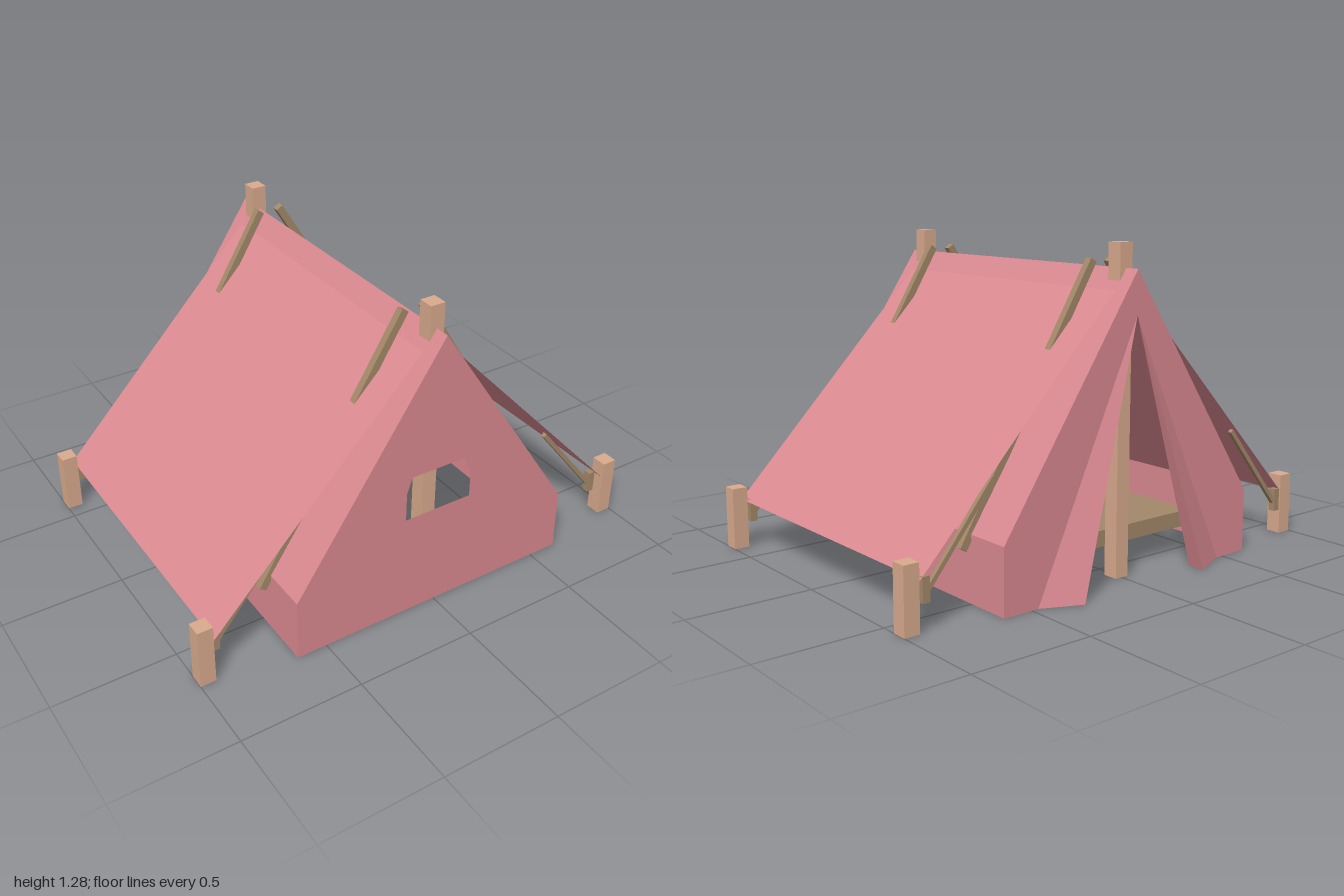
import * as THREE from 'three';

const canvas = new THREE.MeshStandardMaterial({ color: 0xdb8a91, side: THREE.DoubleSide });
canvas.name = 'pink canvas';
const postWood = new THREE.MeshStandardMaterial({ color: 0xdaab8e });
postWood.name = 'light wood';
const poleWood = new THREE.MeshStandardMaterial({ color: 0xa4896a });
poleWood.name = 'dark wood';

// Tent dimensions
const HALF = 0.625, EAVE = 0.26, RIDGE = 1.19, FRONT = 0.76, BACK = -0.69;
const POST_Z = [0.667, -0.595];
const SIDES = [1, -1];

export function createModel() {
  const model = new THREE.Group();
  model.name = 'tent';

  function add(name, geometry, material, x = 0, y = 0, z = 0) {
    const mesh = new THREE.Mesh(geometry, material);
    mesh.name = name;
    mesh.position.set(x, y, z);
    model.add(mesh);
    return mesh;
  }

  const box = (name, material, w, h, d, x, y, z) =>
    add(name, new THREE.BoxGeometry(w, h, d), material, x, y, z);

  // Thin cloth sheet from a fan of corner points
  function sheet(name, points) {
    const position = [];
    for (let i = 1; i < points.length - 1; i++) {
      position.push(...points[0], ...points[i], ...points[i + 1]);
    }
    const geometry = new THREE.BufferGeometry();
    geometry.setAttribute('position', new THREE.Float32BufferAttribute(position, 3));
    geometry.computeVertexNormals();
    return add(name, geometry, canvas);
  }

  // Square stick between two points in a plane of constant z
  function stick(name, a, b, width, depth, z) {
    const dx = b[0] - a[0], dy = b[1] - a[1];
    const mesh = box(name, poleWood, width, Math.hypot(dx, dy), depth,
      (a[0] + b[0]) / 2, (a[1] + b[1]) / 2, z);
    mesh.rotation.z = Math.atan2(-dx, dy);
  }

  const polygon = (points) => points.map(([x, y]) => new THREE.Vector2(x, y));

  // Front gable with window
  const gable = [[HALF, 0], [HALF, EAVE], [0, RIDGE], [-HALF, EAVE], [-HALF, 0]];
  const frontShape = new THREE.Shape(polygon(gable));
  frontShape.holes.push(new THREE.Path(polygon(
    [[-0.148, 0.445], [0.148, 0.445], [0.148, 0.632], [-0.148, 0.632]])));
  add('frontWall', new THREE.ShapeGeometry(frontShape), canvas, 0, 0, FRONT);

  // Back gable with door opening
  const backShape = new THREE.Shape(polygon([...gable, [-0.47, 0], [0, 1.02], [0.47, 0]]));
  add('backWall', new THREE.ShapeGeometry(backShape), canvas, 0, 0, BACK);

  for (const s of SIDES) {
    // Side wall, roof and overhanging fly sheet
    sheet('sideWall', [[s * HALF, 0, FRONT], [s * HALF, 0, BACK],
      [s * HALF, EAVE, BACK], [s * HALF, EAVE, FRONT]]);
    sheet('roof', [[s * HALF, EAVE, FRONT], [s * HALF, EAVE, BACK],
      [0, RIDGE, BACK], [0, RIDGE, FRONT]]);
    sheet('flySheet', [[s * 0.933, 0.19, 0.695], [s * 0.933, 0.19, -0.627],
      [0, 1.166, -0.627], [0, 1.166, 0.695]]);

    // Folded door flap
    const top = [0, 1.02, BACK], tip = [s * 0.31, 0, -0.763];
    sheet('doorFlapOuter', [top, [s * 0.47, 0, BACK], tip]);
    sheet('doorFlapInner', [top, tip, [s * 0.31, 0, BACK]]);

    // Window curtain
    sheet('windowCurtain', [[s * 0.15, 0.635, FRONT - 0.005],
      [s * 0.12, 0.635, FRONT - 0.005], [s * 0.15, 0.545, FRONT - 0.005]]);

    // Roof poles
    for (const z of [0.555, -0.485]) {
      stick('roofPole', [s * 0.045, 1.215], [s * 0.66, 0.208], 0.032, 0.03, z);
    }

    // Corner posts with ties and guy sticks
    for (const z of POST_Z) {
      box('cornerPost', postWood, 0.064, 0.255, 0.064, s * 0.968, 0.1275, z);
      box('postTie', poleWood, 0.03, 0.095, 0.03, s * 0.91, 0.153, z - 0.02);
      stick('guyStick', [s * 0.617, 0.492], [s * 0.9, 0.145], 0.018, 0.018, z - 0.02);
    }
  }

  // Main upright posts
  for (const z of POST_Z) box('mainPost', postWood, 0.062, 1.285, 0.064, 0, 0.6425, z);

  // Low bench inside the door
  box('bench', poleWood, 0.9, 0.065, 0.35, 0, 0.143, -0.375);

  return model;
}
